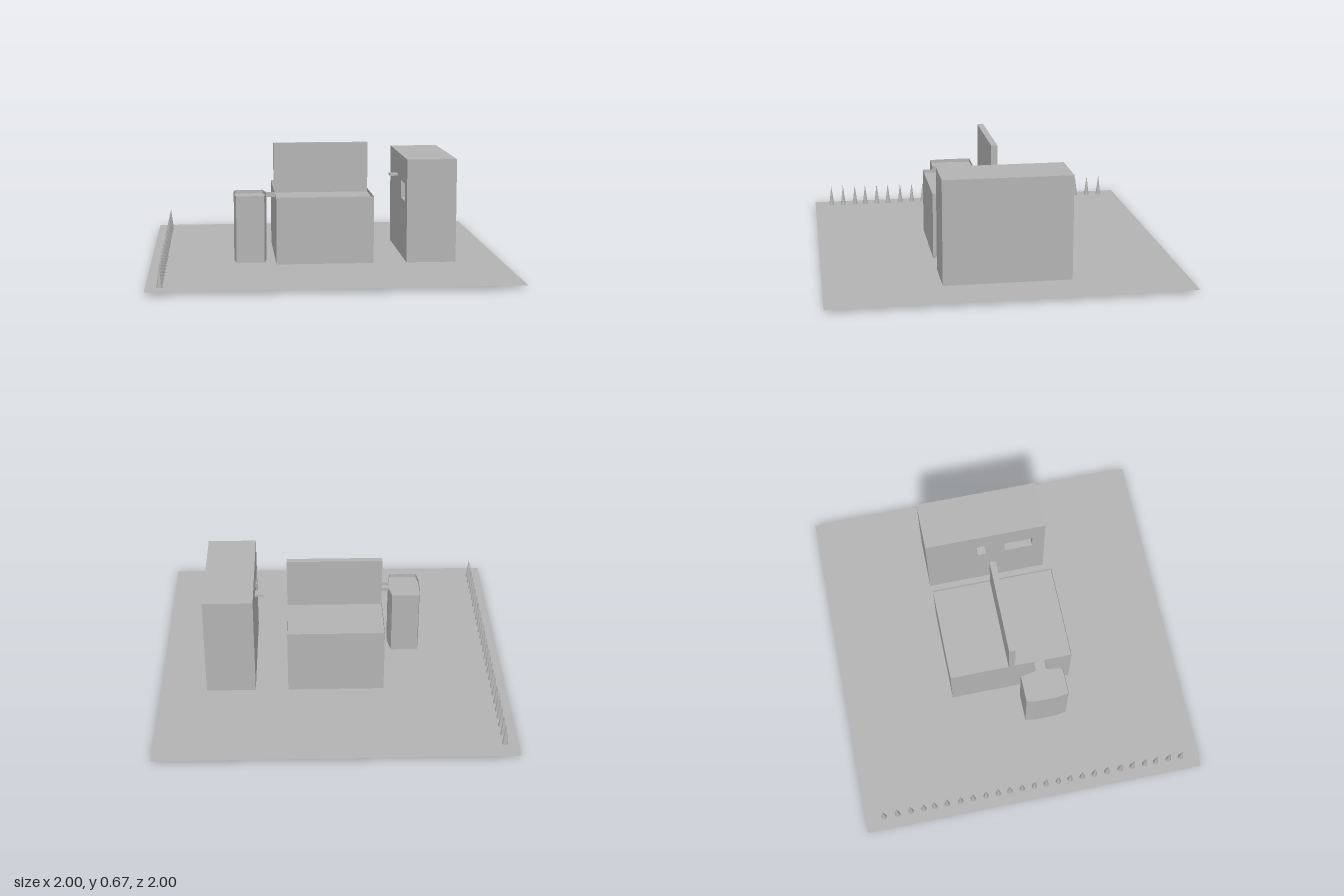
import * as THREE from 'three';

const GROUND = 0.02, ROOF = 0.382, RIM = 0.402;

// Upright sheet of wall following a closed plan outline of [x, z] points
function wallGeometry(points, y0, y1) {
  const pos = [];
  points.forEach(([ax, az], i) => {
    const [bx, bz] = points[(i + 1) % points.length];
    pos.push(ax, y0, az, bx, y0, bz, bx, y1, bz);
    pos.push(ax, y0, az, bx, y1, bz, ax, y1, az);
  });
  const g = new THREE.BufferGeometry();
  g.setAttribute('position', new THREE.Float32BufferAttribute(pos, 3));
  g.computeVertexNormals();
  return g;
}

// Flat horizontal sheet filling a plan outline, facing up
function slabGeometry(points, y) {
  const shape = new THREE.Shape(points.map(([x, z]) => new THREE.Vector2(x, -z)));
  return new THREE.ShapeGeometry(shape).rotateX(-Math.PI / 2).translate(0, y, 0);
}

function boxGeometry(x0, x1, y0, y1, z0, z1) {
  return new THREE.BoxGeometry(x1 - x0, y1 - y0, z1 - z0)
    .translate((x0 + x1) / 2, (y0 + y1) / 2, (z0 + z1) / 2);
}

export function createModel() {
  const model = new THREE.Group();
  const grey = new THREE.MeshStandardMaterial({ color: 0xb3b3b3, side: THREE.DoubleSide });
  grey.name = 'concrete grey';
  const add = (name, geometry, parent = model) => {
    const mesh = new THREE.Mesh(geometry, grey);
    mesh.name = name;
    parent.add(mesh);
    return mesh;
  };

  // Site
  add('ground', slabGeometry([[-1, 1], [1, 1], [1, -1], [-1, -1]], GROUND));

  // Plan outlines, anticlockwise seen from above
  const block = [[-0.29, 0.355], [0.262, 0.355], [0.262, -0.36], [-0.29, -0.36]];
  const bridge = [[-0.29, 0.13], [-0.34, 0.13]];
  const bridgeBack = [[-0.34, 0.195], [-0.29, 0.195]];
  const annexOuter = [[-0.357, 0.04], [-0.516, 0.04], [-0.525, 0.1], [-0.525, 0.22], [-0.514, 0.288], [-0.355, 0.288]];
  const annex = [bridge[1], ...annexOuter, bridgeBack[0]];

  // Main block, annex and the rim that joins them over the bridge
  add('blockWalls', wallGeometry(block, 0, ROOF));
  add('annexWalls', wallGeometry(annex, 0.01, ROOF));
  const outline = [...block, ...bridge, ...annexOuter, ...bridgeBack];
  add('roof', slabGeometry(outline, ROOF));
  add('roofRim', wallGeometry(outline, ROOF, RIM));

  // Tall thin wall across the block roof
  add('roofWall', boxGeometry(-0.29, 0.262, ROOF, 0.673, -0.016, 0.02));

  // Tower: solid rear part and a front layer with a recessed opening
  const tower = new THREE.Group();
  tower.name = 'tower';
  model.add(tower);
  const face = new THREE.Shape([
    [-0.355, GROUND], [0.36, GROUND], [0.36, 0.61], [-0.355, 0.61],
  ].map(([x, y]) => new THREE.Vector2(x, y)));
  face.holes.push(new THREE.Path([
    [-0.28, 0.36], [-0.28, 0.46], [-0.11, 0.46], [-0.11, 0.36],
  ].map(([x, y]) => new THREE.Vector2(x, y))));
  const depth = 0.27;
  const shell = new THREE.ExtrudeGeometry(face, { depth, bevelEnabled: false })
    .rotateY(Math.PI / 2).translate(0.45, 0, 0);
  add('towerBody', shell, tower);
  add('towerOuterWall', boxGeometry(0.45 + depth, 0.733, GROUND, 0.61, -0.36, 0.355), tower);
  add('balcony', boxGeometry(0.4, 0.45, 0.469, 0.481, -0.06, -0.01), tower);

  // Row of conical trees along one edge
  const trees = new THREE.Group();
  trees.name = 'treeRow';
  model.add(trees);
  const cone = new THREE.ConeGeometry(0.018, 0.144, 16);
  const treeZ = [-0.89, -0.81, -0.73, -0.655, -0.59, -0.515, -0.435, -0.36, -0.283, -0.21, -0.14, -0.066, 0.008,
    0.078, 0.152, 0.222, 0.297, 0.37, 0.446, 0.527, 0.6, 0.676, 0.743, 0.82, 0.895];
  for (const z of treeZ) add('tree', cone, trees).position.set(-0.924, 0.075, z);

  return model;
}
